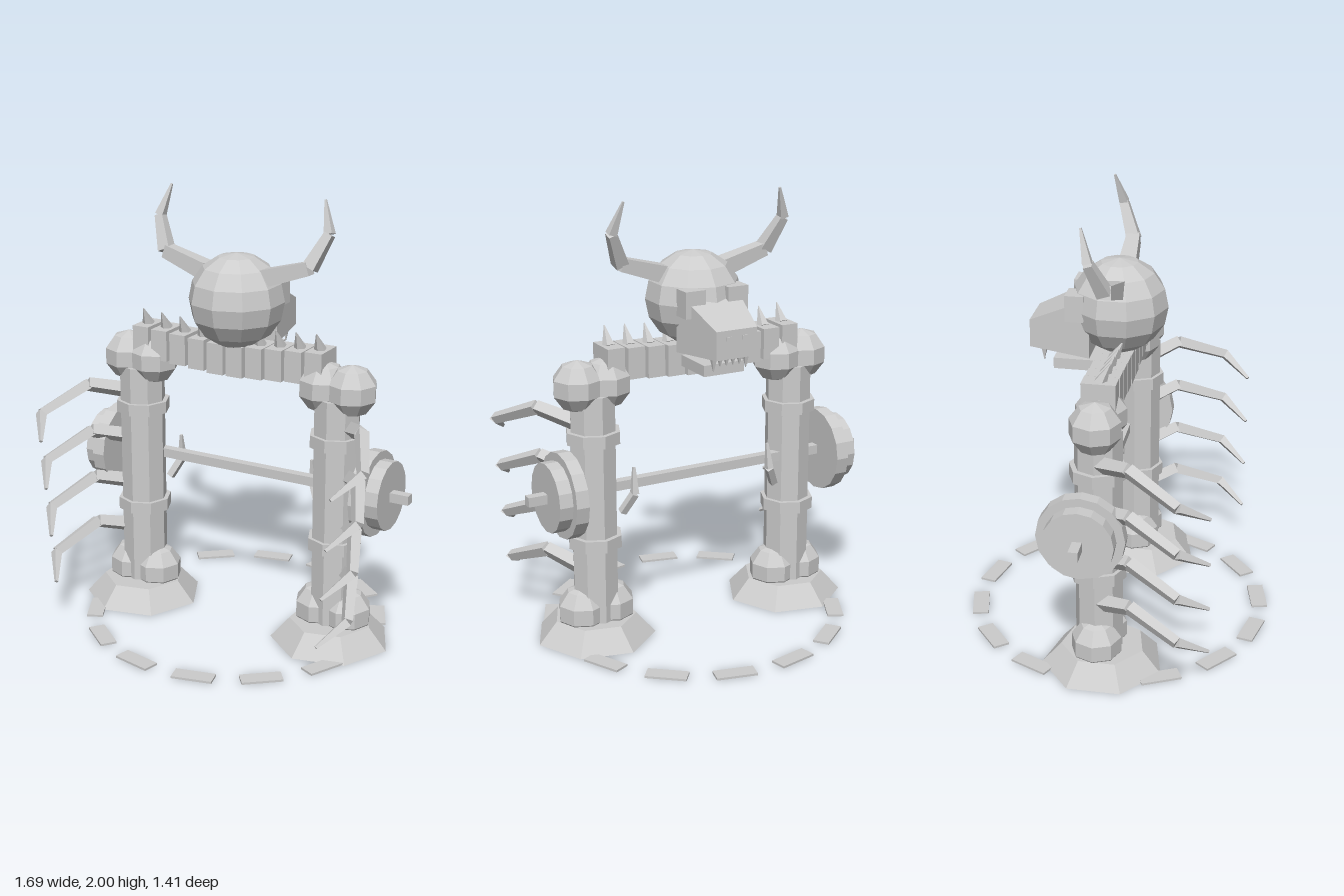
import * as THREE from 'three';

export function createModel() {
  const model = new THREE.Group();
  model.name = 'boneGate';
  const bone = new THREE.MeshStandardMaterial({ color: 0xcccccc, flatShading: true });
  bone.name = 'bone grey';

  const add = (name, geometry, x = 0, y = 0, z = 0, parent = model) => {
    const mesh = new THREE.Mesh(geometry, bone);
    mesh.name = name;
    mesh.position.set(x, y, z);
    parent.add(mesh);
    return mesh;
  };
  const box = (name, w, h, d, x, y, z) => add(name, new THREE.BoxGeometry(w, h, d), x, y, z);

  // Tapered straight piece between two points
  const taper = (name, a, b, ra, rb, sides = 4, parent = model) => {
    const from = new THREE.Vector3(...a), to = new THREE.Vector3(...b);
    const dir = to.clone().sub(from);
    const geo = new THREE.CylinderGeometry(rb, ra, dir.length(), sides);
    if (sides === 4) geo.rotateY(Math.PI / 4);
    const mesh = add(name, geo, 0, 0, 0, parent);
    mesh.position.copy(from).add(to).multiplyScalar(0.5);
    mesh.quaternion.setFromUnitVectors(new THREE.Vector3(0, 1, 0), dir.normalize());
    return mesh;
  };
  // Chain of tapered pieces
  const chain = (name, points, radii) => {
    const group = new THREE.Group();
    group.name = name;
    for (let i = 0; i < points.length - 1; i++) {
      taper(name + 'Segment', points[i], points[i + 1], radii[i], radii[i + 1], 4, group);
    }
    model.add(group);
  };

  // Cranium
  const cranium = new THREE.SphereGeometry(0.218, 10, 8).rotateY(Math.PI / 2);
  add('cranium', cranium, 0, 1.53, 0).scale.y = 0.985;

  // Snout: a box narrowed and lowered toward its tip
  const snout = new THREE.BoxGeometry(2, 1, 1);
  const p = snout.attributes.position;
  for (let i = 0; i < p.count; i++) {
    const tip = p.getZ(i) < 0, top = p.getY(i) > 0;
    p.setXYZ(i, p.getX(i) * (tip ? 0.1 : 0.145),
      top ? (tip ? 1.467 : 1.595) : (tip ? 1.34 : 1.32), tip ? -0.385 : -0.11);
  }
  snout.computeVertexNormals();
  add('snout', snout);
  box('lowerJaw', 0.2, 0.05, 0.28, 0, 1.268, -0.14);

  // Upper teeth, with longer fangs at the sides
  for (let i = 0; i < 6; i++) {
    const x = (i - 2.5) * 0.032, fang = i === 0 || i === 5;
    taper('tooth', [x, 1.35, -0.325], [x, fang ? 1.275 : 1.295, -0.325], 0.02, 0.002);
  }

  for (const s of [-1, 1]) {
    box('brow', 0.1, 0.12, 0.085, s * 0.105, 1.55, -0.173);
    box('nostril', 0.025, 0.018, 0.008, s * 0.04, 1.43, -0.386);

    // Horns
    chain('horn', [[s * 0.15, 1.65, 0.01], [s * 0.36, 1.715, 0], [s * 0.425, 1.86, -0.055],
      [s * 0.385, 2, -0.092]], [0.055, 0.042, 0.028, 0.006]);

    // Leg bone with collars and paired knobs at both ends
    const x = s * 0.505;
    add('legBone', new THREE.CylinderGeometry(0.106, 0.106, 1.08, 8), x, 0.62, 0);
    for (const y of [0.475, 0.963]) {
      add('collar', new THREE.CylinderGeometry(0.126, 0.126, 0.056, 8), x, y, -0.003);
    }
    for (const y of [0.14, 1.197]) {
      for (const k of [-0.068, 0.068]) {
        add('knob', new THREE.SphereGeometry(0.118, 8, 5), x + k, y, 0);
      }
    }
    add('foot', new THREE.CylinderGeometry(0.19, 0.277, 0.097, 7).rotateY(Math.PI / 2), x, 0.0485, 0.018);

    // Ribs sweeping outward and back
    for (let i = 0; i < 4; i++) {
      const d = -0.227 * i, n = 0.018 * i;
      chain('rib', [[s * 0.56, 1.02 + d, 0], [s * (0.7 - n * 0.6), 1.075 + d, 0.165],
        [s * (0.81 - n), 0.98 + d, 0.385], [s * (0.725 - n), 0.895 + d, 0.512]],
      [0.04, 0.034, 0.027, 0.009]);
    }

    // Weight discs on the bar
    add('innerDisc', new THREE.CylinderGeometry(0.195, 0.195, 0.06, 16).rotateZ(Math.PI / 2), s * 0.665, 0.727, -0.044);
    add('outerDisc', new THREE.CylinderGeometry(0.157, 0.157, 0.062, 16).rotateZ(Math.PI / 2), s * 0.726, 0.727, -0.044);

    // Claws hooked behind the bar
    chain('claw', [[s * 0.395, 0.6, -0.06], [s * 0.35, 0.69, -0.095], [s * 0.345, 0.81, -0.08]],
      [0.022, 0.022, 0.008]);
  }

  // Crossbar
  box('crossbar', 1.69, 0.043, 0.043, 0, 0.727, -0.044);

  // Sagging row of vertebrae, each with a backward spike
  for (let i = 0; i < 10; i++) {
    const x = -0.463 + i * 0.098;
    const y = 1.262 + 0.03 * Math.abs(i - 4.5) / 4.5;
    box('vertebra', 0.082, 0.142, 0.15, x, y, 0);
    taper('spike', [x, y + 0.065, 0.002], [x, y + 0.15, 0.045], 0.03, 0.002, 5);
  }

  // Ring of flat stones on the ground
  for (let i = 0; i < 14; i++) {
    const a = (i + 0.5) * Math.PI / 7;
    box('ringStone', 0.185, 0.01, 0.075, 0.665 * Math.sin(a), 0.005, 0.665 * Math.cos(a)).rotation.y = a;
  }
  return model;
}
